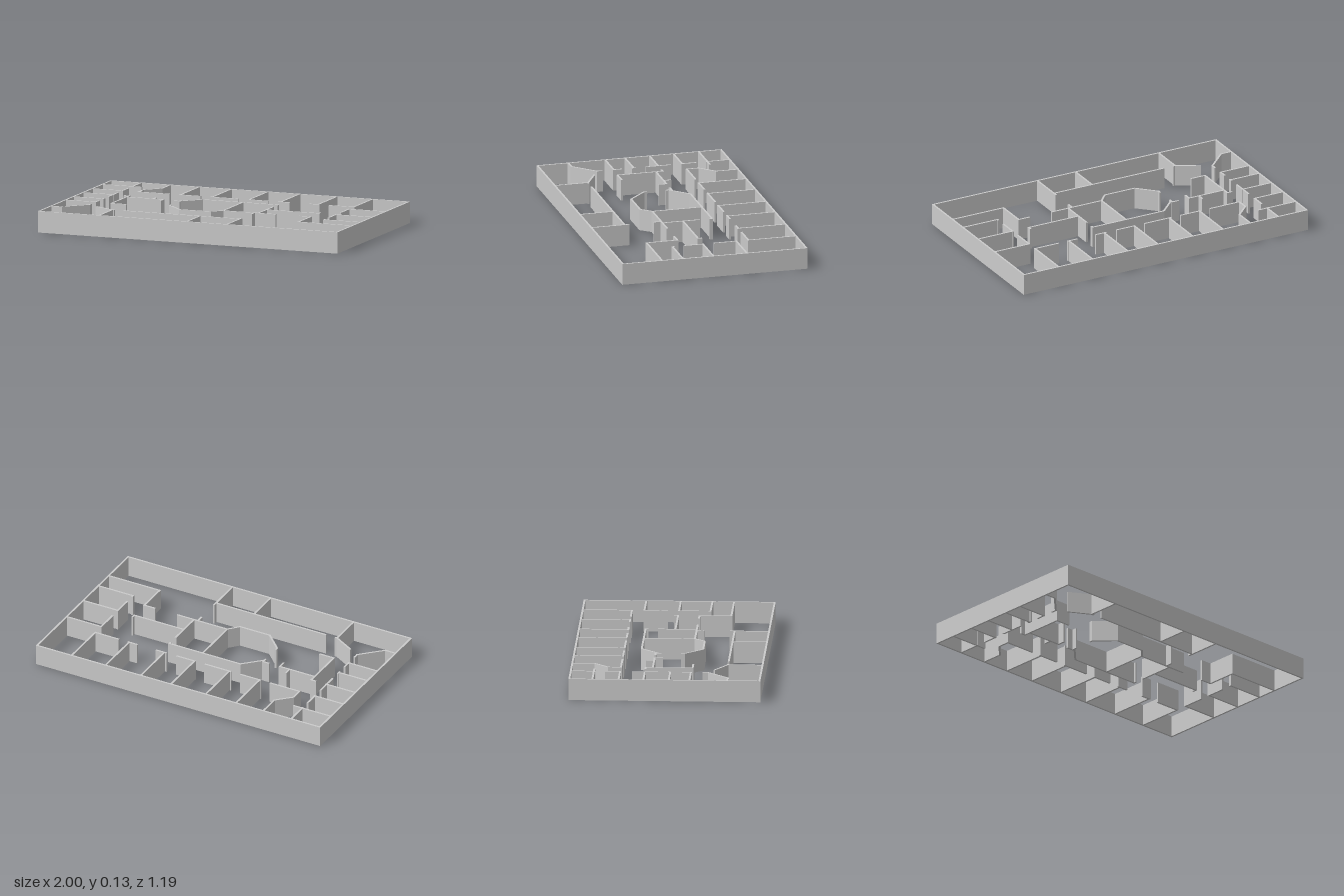
import * as THREE from 'three';

const HEIGHT = 0.134, THICK = 0.012;
const X = 0.994, Z = 0.588; // centre lines of the outer walls

// Upright wall following a plan polyline of [x, z] points, with mitred corners
function wallGeometry(points) {
  const p = points.map(([x, z]) => new THREE.Vector2(x, -z));
  const left = [], right = [];
  p.forEach((pt, i) => {
    const a = i > 0 ? pt.clone().sub(p[i - 1]).normalize() : null;
    const b = i < p.length - 1 ? p[i + 1].clone().sub(pt).normalize() : null;
    const dir = a && b ? a.clone().add(b).normalize() : (a || b);
    const normal = new THREE.Vector2(-dir.y, dir.x);
    const reach = (THICK / 2) / (a && b ? dir.dot(a) : 1);
    left.push(pt.clone().addScaledVector(normal, reach));
    right.unshift(pt.clone().addScaledVector(normal, -reach));
  });
  const geo = new THREE.ExtrudeGeometry(new THREE.Shape([...left, ...right]), { depth: HEIGHT, bevelEnabled: false });
  return geo.rotateX(-Math.PI / 2);
}

export function createModel() {
  const model = new THREE.Group();
  model.name = 'floorPlan';
  const material = new THREE.MeshStandardMaterial({ color: 0xcccccc, flatShading: true });

  function addWalls(name, lines) {
    const group = new THREE.Group();
    group.name = name;
    lines.forEach((line, i) => {
      const mesh = new THREE.Mesh(wallGeometry(line), material);
      mesh.name = `${name}${i + 1}`;
      group.add(mesh);
    });
    model.add(group);
  }
  const alongX = (z, x0, x1) => [[x0, z], [x1, z]];
  const alongZ = (x, z0, z1) => [[x, z0], [x, z1]];

  // Outer shell: one rectangular ring
  const rect = (Ctor, x, z) => new Ctor([[-x, -z], [x, -z], [x, z], [-x, z]].map(q => new THREE.Vector2(...q)));
  const ring = rect(THREE.Shape, X + THICK / 2, Z + THICK / 2);
  ring.holes.push(rect(THREE.Path, X - THICK / 2, Z - THICK / 2));
  const shell = new THREE.Mesh(
    new THREE.ExtrudeGeometry(ring, { depth: HEIGHT, bevelEnabled: false }).rotateX(-Math.PI / 2), material);
  shell.name = 'outerWall';
  model.add(shell);

  // Small rooms on the -x side: partitions and the broken corridor wall
  addWalls('sideRoomPartition', [
    [-0.445, -0.73], [-0.283, -0.787], [-0.13, -0.785], [0.027, -0.787], [0.155, -0.787],
  ].map(([z, x]) => alongX(z, -X, x)));
  addWalls('sideCorridorWall', [
    [-Z, -0.435], [-0.377, -0.277], [-0.21, -0.05], [0.013, 0.04], [0.1, 0.161], [0.227, 0.265],
  ].map(([a, b]) => alongZ(-0.793, a, b)));
  addWalls('angledCornerWall', [
    [[-X, 0.39], [-0.922, 0.39], [-0.79, 0.26]],
    [[-0.73, 0.297], [-0.592, 0.374], [-0.592, Z]],
    alongX(0.375, -0.592, -0.577),
  ]);

  // Row of rooms along the back
  addWalls('backRoomAngledWall', [
    [[-0.597, -Z], [-0.597, -0.447], [-0.685, -0.36], [-0.685, -0.283], [-0.477, -0.283]],
  ]);
  // [partition x, corridor wall start, corridor wall end]
  for (const [x, x0, x1] of [
    [-0.405, -0.415, -0.27], [-0.192, -0.205, -0.018], [0.053, 0.046, 0.18],
    [0.265, 0.248, 0.325], [0.513, 0.453, 0.523], [0.751, 0.585, 0.757],
  ]) addWalls('backRoomWall', [alongZ(x, -Z, -0.283), alongX(-0.283, x0, x1)]);

  // Rooms on the +x side
  addWalls('endRoomWall', [
    [[X, -0.206], [0.751, -0.206], [0.751, -0.06]],
    alongZ(0.751, 0, 0.13),
    alongX(0.008, 0.751, X),
    [[0.751, 0.19], [0.751, 0.203], [X, 0.203]],
    [[0.558, 0.14], [0.636, 0.14], [0.636, 0.337], [X, 0.337]],
  ]);

  // Central angled hall and the adjoining rooms
  addWalls('centralHallWall', [
    [[-0.32, -0.07], [-0.212, -0.177], [0.293, -0.177]],
    [[-0.367, -0.086], [-0.322, -0.086], [-0.322, -0.05]],
    [[0.053, -0.177], [0.053, 0.14], [-0.003, 0.203], [-0.212, 0.203], [-0.323, 0.093], [-0.323, 0.072]],
  ]);
  addWalls('centralRoomWall', [
    alongX(0.14, 0.053, 0.405),
    alongZ(0.287, -0.177, -0.16),
    alongZ(0.287, -0.1, 0.14),
    [[0.287, 0.008], [0.636, 0.008], [0.636, -0.018]],
    alongZ(0.26, 0.14, 0.19),
  ]);

  // Service rooms beside the hall
  addWalls('serviceRoomWall', [
    [[-0.72, -0.13], [-0.685, -0.13], [-0.685, 0.16], [-0.585, 0.16]],
    [[-0.685, -0.086], [-0.44, -0.086], [-0.44, -0.035]],
    alongZ(-0.508, -0.135, -0.086),
  ]);

  // Front rooms
  addWalls('frontRoomWall', [
    alongX(0.375, -0.515, 0.26),
    alongZ(-0.008, 0.375, Z),
    alongZ(0.26, 0.345, Z),
  ]);
  return model;
}
